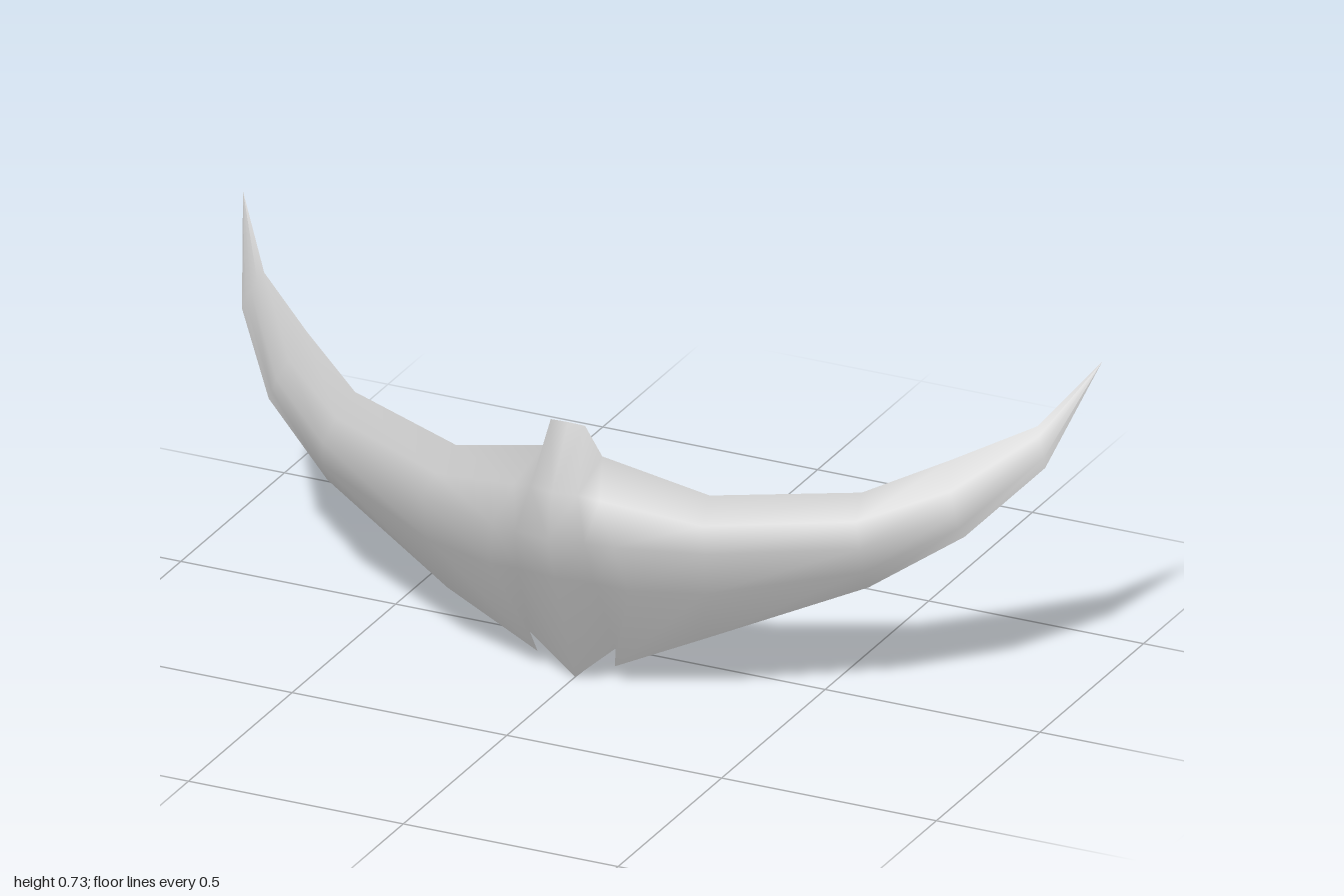
import * as THREE from 'three';

// Cross-sections of the left half, centre to wing tip; each runs top edge -> ridge -> bottom edge
const SECTIONS = [
  [[0, 0.6, 0.203], [0, 0.47, 0.283], [0, 0.37, 0.302], [0, 0.27, 0.272], [0, 0, 0.17]],
  [[0.04, 0.6, 0.205], [0.055, 0.47, 0.272], [0.08, 0.37, 0.292], [0.09, 0.27, 0.262], [0.1, 0.09, 0.182]],
  [[0.068, 0.525, 0.18], [0.1, 0.46, 0.258], [0.14, 0.37, 0.28], [0.16, 0.26, 0.247], [0.09, 0.04, 0.165]],
  [[0.295, 0.46, 0.132], [0.31, 0.42, 0.2], [0.33, 0.37, 0.228], [0.32, 0.27, 0.213], [0.3, 0.145, 0.165]],
  [[0.59, 0.475, 0.01], [0.605, 0.435, 0.07], [0.625, 0.385, 0.093], [0.63, 0.33, 0.085], [0.63, 0.285, 0.06]],
  [[0.75, 0.541, -0.09], [0.77, 0.49, -0.045], [0.79, 0.45, -0.025], [0.8, 0.42, -0.024], [0.81, 0.4, -0.03]],
  [[0.9, 0.605, -0.195], [0.91, 0.59, -0.182], [0.92, 0.57, -0.172], [0.93, 0.55, -0.164], [0.935, 0.53, -0.16]],
  Array(5).fill([1, 0.73, -0.3]),
];

const mirror = (sections) =>
  sections.map((s) => s.map(([x, y, z]) => [-x, y, z])).reverse();

// Skin over cross-sections ordered by rising x; flip turns it to face the back
function skin(sections, flip) {
  const rows = sections[0].length;
  const index = [];
  const add = (a, b, c) => index.push(...(flip ? [a, c, b] : [a, b, c]));
  for (let i = 0; i < sections.length - 1; i++) {
    const onLeft = sections[i][0][0] >= 0;
    for (let j = 0; j < rows - 1; j++) {
      const a = i * rows + j, b = a + 1, d = a + rows, c = d + 1;
      if (onLeft) { add(a, b, d); add(b, c, d); }
      else { add(a, b, c); add(a, c, d); }
    }
  }
  const g = new THREE.BufferGeometry();
  g.setAttribute('position', new THREE.Float32BufferAttribute(sections.flat(2), 3));
  g.setIndex(index);
  g.computeVertexNormals();
  return g;
}

export function createModel() {
  const group = new THREE.Group();
  group.name = 'wingedBlade';
  const grey = new THREE.MeshStandardMaterial({ color: 0xc0c0c0, side: THREE.DoubleSide });
  grey.name = 'light grey';
  const part = (name, geometry) => {
    const mesh = new THREE.Mesh(geometry, grey);
    mesh.name = name;
    group.add(mesh);
  };

  // Rounded front shell, smooth across the centre
  part('frontShell', skin([...mirror(SECTIONS.slice(1)), ...SECTIONS], false));

  // Flat back panels meeting in a crease at the centre
  const notch = SECTIONS[1][4];
  const back = SECTIONS.map((s, i) => [s[0], i === 2 ? notch : s[4]]);
  part('leftBackPanel', skin(back, true));
  part('rightBackPanel', skin(mirror(back), true));

  // Backs of the small tail fins beside the centre point
  const fin = [[notch, SECTIONS[2][4]], [SECTIONS[3][4], SECTIONS[3][4]]];
  part('leftTailFin', skin(fin, true));
  part('rightTailFin', skin(mirror(fin), true));
  return group;
}
